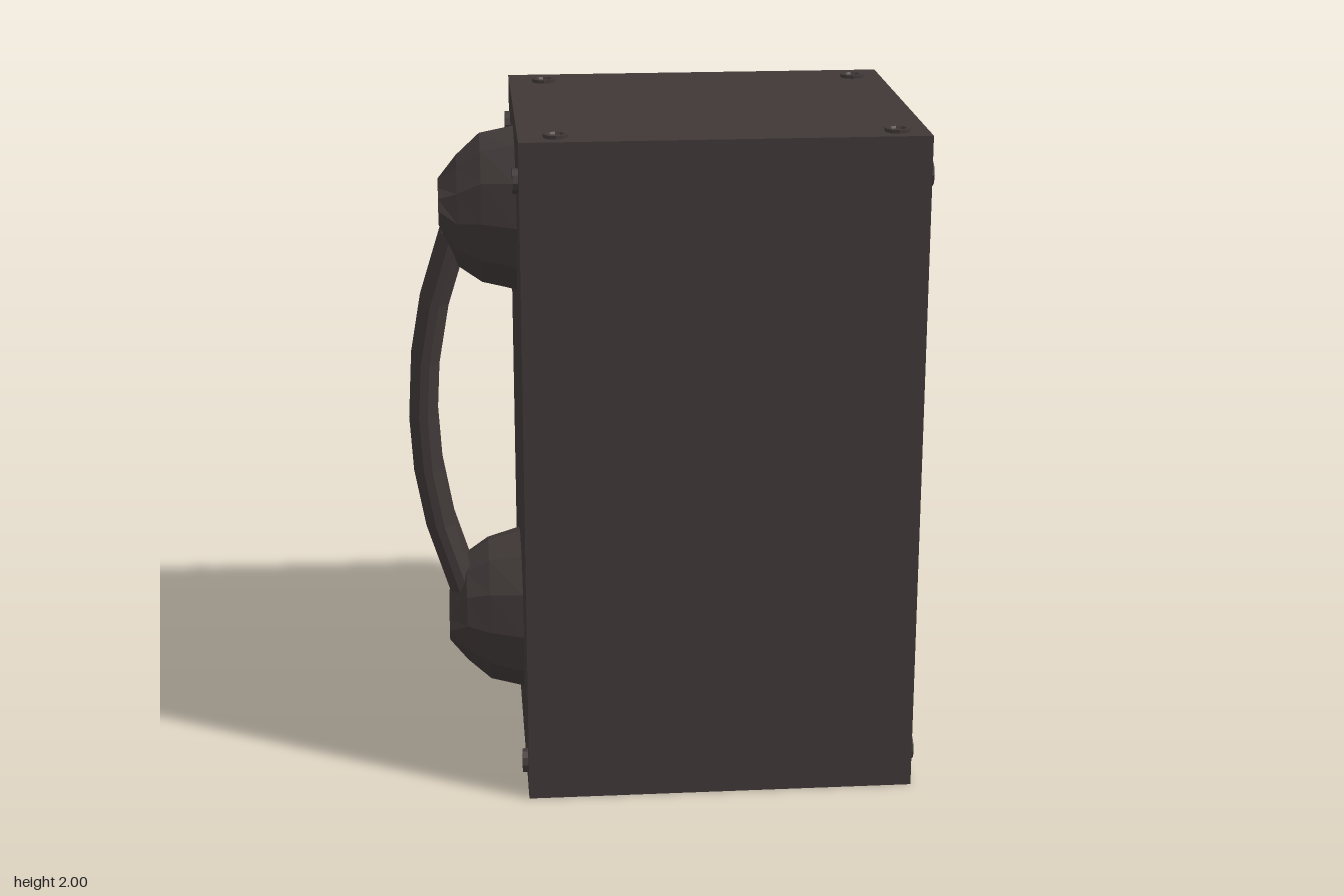
import * as THREE from 'three';

const material = (name, color) => {
  const m = new THREE.MeshStandardMaterial({ color });
  m.name = name;
  return m;
};

// Flat-shaded skin over rings; rings run counter-clockwise about their travel direction
function loft(rings, capStart = true, capEnd = true) {
  const pos = [];
  const tri = (a, b, c) => pos.push(...a, ...b, ...c);
  const n = rings[0].length;
  for (let i = 0; i < rings.length - 1; i++) {
    for (let j = 0; j < n; j++) {
      const k = (j + 1) % n, a = rings[i], b = rings[i + 1];
      tri(a[j], a[k], b[k]);
      tri(a[j], b[k], b[j]);
    }
  }
  const last = rings[rings.length - 1];
  for (let j = 1; j < n - 1; j++) {
    if (capStart) tri(rings[0][0], rings[0][j + 1], rings[0][j]);
    if (capEnd) tri(last[0], last[j], last[j + 1]);
  }
  const g = new THREE.BufferGeometry();
  g.setAttribute('position', new THREE.Float32BufferAttribute(pos, 3));
  g.computeVertexNormals();
  return g;
}

const rect = (x0, x1, y0, y1, z) => [[x0, y0, z], [x1, y0, z], [x1, y1, z], [x0, y1, z]];
const path = (pts) => pts.map(([x, y]) => new THREE.Vector2(x, y));

export function createModel() {
  const model = new THREE.Group();
  model.name = 'payphone';
  const casing = material('dark brown casing', 0x3f3837);
  const olive = material('olive', 0x424326);

  const add = (parent, name, geometry, mat = casing) => {
    const mesh = new THREE.Mesh(geometry, mat);
    mesh.name = name;
    parent.add(mesh);
    return mesh;
  };

  // Cabinet and keypad face, built facing local +z then turned to the back
  const cabinet = new THREE.Group();
  cabinet.name = 'cabinet';
  cabinet.rotation.y = Math.PI;
  cabinet.position.x = 0.155;
  model.add(cabinet);

  const W = 0.575, H = 1.99, FACE = 0.54;
  add(cabinet, 'cabinetBody', loft([
    rect(-W, W, 0, H, -0.585),
    rect(-W, W, 0, H, 0.41),
    rect(-W + 0.03, W - 0.03, 0.05, H - 0.05, FACE),
  ], true, false));

  // Face plate with openings for the card slot and the display
  const slot = [-0.19, 0.175, 1.59, 1.76];
  const screen = [-0.365, 0.385, 1.2, 1.425];
  const face = new THREE.Shape(path(rect(-W + 0.03, W - 0.03, 0.05, H - 0.05, 0)));
  for (const r of [slot, screen]) face.holes.push(new THREE.Path(path(rect(...r, 0).reverse())));
  add(cabinet, 'facePlate', new THREE.ShapeGeometry(face).translate(0, 0, FACE));

  // Recesses: reversed rings make the walls face inward
  add(cabinet, 'cardSlotRecess', loft([
    rect(...slot, FACE - 0.12).reverse(), rect(...slot, FACE).reverse(),
  ], true, false));
  const [sx0, sx1, sy0, sy1] = screen;
  const inner = [sx0 + 0.02, sx1 - 0.02, sy0 + 0.025, sy1 - 0.015];
  add(cabinet, 'displayRecess', loft([
    rect(...inner, FACE - 0.045).reverse(), rect(...screen, FACE).reverse(),
  ], true, false));
  add(cabinet, 'displayScreen', loft([
    rect(...inner, FACE - 0.045), rect(...inner, FACE - 0.04),
  ]), olive);

  // Raised card reader frame with two prongs and an open notch
  const frame = new THREE.Shape(path([
    [-0.42, 1.55], [0.385, 1.55], [0.385, 1.88], [0.335, 1.88], [0.335, 1.76],
    [slot[1], 1.76], [slot[1], 1.59], [slot[0], 1.59], [slot[0], 1.76],
    [-0.36, 1.76], [-0.36, 1.88], [-0.42, 1.88],
  ]));
  add(cabinet, 'cardReaderFrame',
    new THREE.ExtrudeGeometry(frame, { depth: 0.04, bevelEnabled: false }).translate(0, 0, FACE));

  // Tapered keys
  const key = (name, x, y, w, h, mat) => {
    const t = 0.014;
    add(cabinet, name, loft([
      rect(x - w / 2, x + w / 2, y - h / 2, y + h / 2, FACE),
      rect(x - w / 2 + t, x + w / 2 - t, y - h / 2 + t * 0.7, y + h / 2 - t * 0.7, FACE + 0.046),
    ], false), mat);
  };
  for (const y of [1.065, 0.872, 0.69, 0.505])
    for (const x of [-0.215, 0.01, 0.238]) key('numberKey', x, y, 0.16, 0.14, casing);
  key('wideKeyLeft', -0.315, 0.272, 0.33, 0.155, olive);
  key('wideKeyMiddle', -0.008, 0.272, 0.23, 0.155, olive);
  key('wideKeyRight', 0.31, 0.272, 0.34, 0.155, casing);

  // Ring-shaped bolts on the top and both sides
  const boltGeometry = (h) => new THREE.LatheGeometry(
    path([[0.036, -0.005], [0.036, h], [0.025, h], [0.021, h * 0.3], [0, h * 0.3]]), 10).toNonIndexed();
  const bolt = (h, x, y, z, tilt) => {
    const g = boltGeometry(h);
    g.computeVertexNormals();
    const b = add(model, 'bolt', g);
    b.position.set(x, y, z);
    b.rotation.z = tilt;
  };
  for (const x of [-0.315, 0.64]) for (const z of [-0.295, 0.515]) bolt(0.01, x, H, z, 0);
  for (const y of [0.085, 1.865]) {
    for (const z of [-0.29, 0.5]) {
      bolt(0.016, 0.73, y, z, -Math.PI / 2);
      bolt(0.016, -0.42, y, z, Math.PI / 2);
    }
  }

  // Handset, built facing local +z then turned to the -x side
  const handset = new THREE.Group();
  handset.name = 'handset';
  handset.rotation.y = -Math.PI / 2;
  handset.position.z = 0.04;
  model.add(handset);

  // Cup sections: depth, lowest y, highest y, half width
  const sections = [
    [0.42, 1.425, 1.925, 0.255], [0.52, 1.45, 1.905, 0.205],
    [0.59, 1.5, 1.84, 0.165], [0.645, 1.635, 1.765, 0.125],
  ];
  const cup = (name, mirrored) => add(handset, name, loft(sections.map(([z, lo, hi, w]) =>
    Array.from({ length: 12 }, (_, i) => {
      const a = (i / 12) * Math.PI * 2;
      const x = Math.cos(a) * w, y = (lo + hi) / 2 + Math.sin(a) * (hi - lo) / 2;
      return mirrored ? [-x, 2.07 - y, z] : [x, y, z];
    })), false));
  cup('earpiece', false);
  cup('mouthpiece', true);

  // Bowed grip with chamfered cross-section
  const w = 0.095, d = 0.043, c = 0.03;
  const octagon = [[d, c - w], [d, w - c], [d - c, w], [c - d, w],
    [-d, w - c], [-d, c - w], [c - d, -w], [d - c, -w]];
  add(handset, 'grip', loft([0.48, 0.7, 0.88, 1.05, 1.22, 1.4, 1.62].map((y) => {
    const bow = 0.707 - 0.34 * (y - 1.05) ** 2;
    return octagon.map(([z, x]) => [x, y, z + bow]);
  })));

  return model;
}
